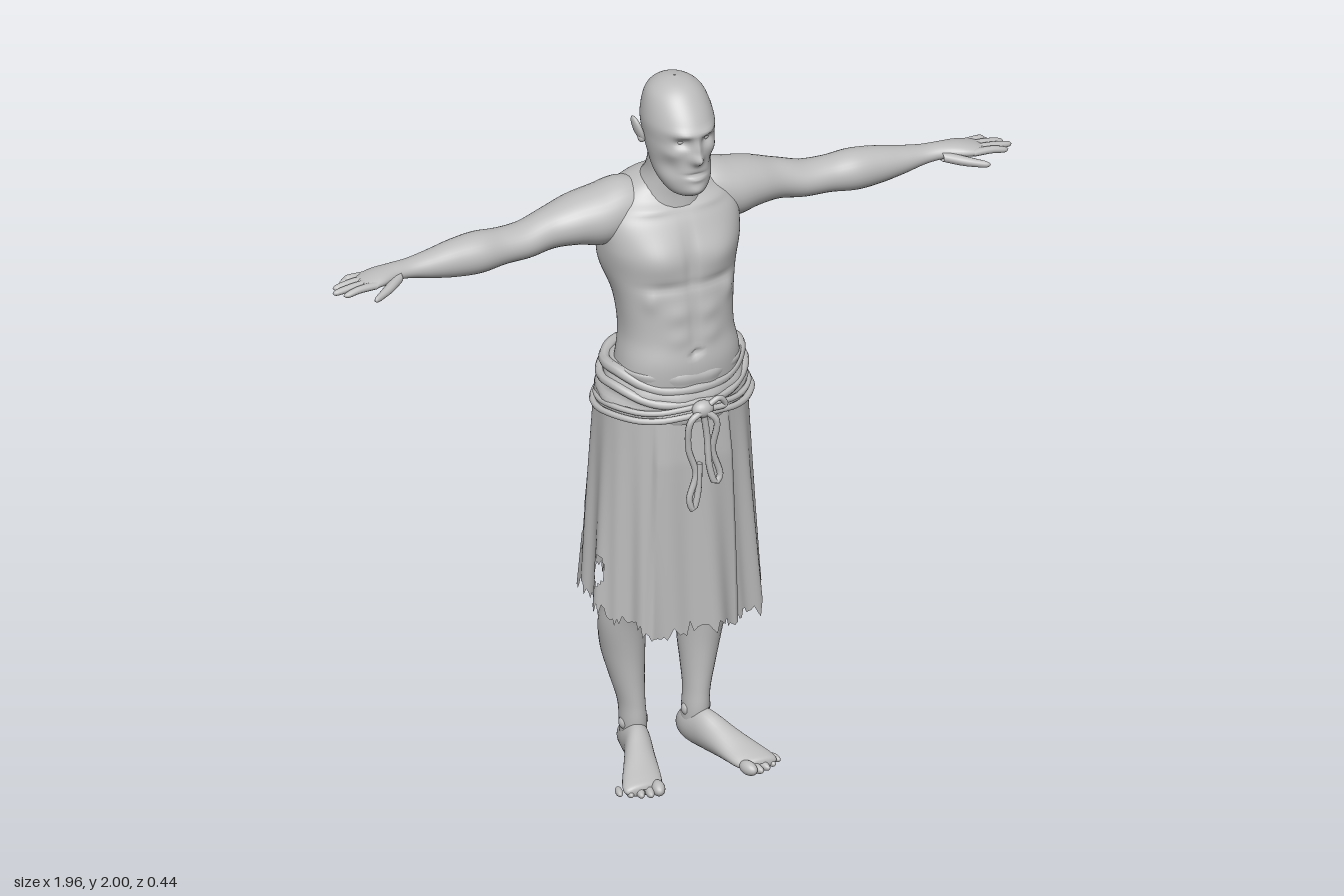
import * as THREE from 'three';

const skin = new THREE.MeshStandardMaterial({ color: 0xbdbdbd });
skin.name = 'stone grey';
skin.side = THREE.DoubleSide;

const V = (x, y, z) => new THREE.Vector3(x, y, z);

function mesh(parent, name, geo) {
  const m = new THREE.Mesh(geo, skin);
  m.name = name;
  parent.add(m);
  return m;
}

// Smooth interpolation through a list of section rows
function sampleRows(rows, u) {
  const n = rows.length - 1, i = Math.min(n - 1, Math.floor(u * n)), t = u * n - i;
  const a = rows[Math.max(0, i - 1)], b = rows[i], c = rows[i + 1], d = rows[Math.min(n, i + 2)];
  return b.map((_, k) => 0.5 * (2 * b[k] + (c[k] - a[k]) * t + (2 * a[k] - 5 * b[k] + 4 * c[k] - d[k]) * t * t
    + (3 * b[k] - a[k] - 3 * c[k] + d[k]) * t * t * t));
}

// Gaussian push: [x, y, z, rx, ry, rz, dx, dy, dz]; mirrored when x is not 0
function sculpt(bumps) {
  const all = bumps.flatMap(b => b[0] ? [b, b.map((v, i) => (i === 0 || i === 6 ? -v : v))] : [b]);
  return p => {
    const q = p.clone();
    for (const [x, y, z, rx, ry, rz, dx, dy, dz] of all) {
      const w = Math.exp(-(((q.x - x) / rx) ** 2) - ((q.y - y) / ry) ** 2 - ((q.z - z) / rz) ** 2);
      p.x += dx * w; p.y += dy * w; p.z += dz * w;
    }
  };
}

// Closed-section loft; rows are [position, centre 1, centre 2, radius 1, radius 2]
function loft(rows, axis, { side = 1, seg = 28, steps = 40, power = 1, deform } = {}) {
  const pos = [], idx = [], mid = V(0, 0, 0), pts = [];
  const round = v => Math.sign(v) * Math.abs(v) ** power;
  for (let j = 0; j <= steps; j++) {
    const [s, c1, c2, r1, r2] = sampleRows(rows, j / steps);
    for (let i = 0; i < seg; i++) {
      const a = i / seg * Math.PI * 2;
      const p = c1 + Math.max(0.001, r1) * round(Math.cos(a)), q = c2 + Math.max(0.001, r2) * round(Math.sin(a));
      const v = axis === 'y' ? V(p, s, q) : axis === 'x' ? V(s, p, q) : V(p, q, s);
      if (deform) deform(v);
      v.x *= side;
      pts.push(v); mid.add(v); pos.push(v.x, v.y, v.z);
      if (j < steps) {
        const k = j * seg, n = (i + 1) % seg;
        idx.push(k + i, k + seg + i, k + n, k + n, k + seg + i, k + seg + n);
      }
    }
  }
  // Turn the faces outward
  mid.divideScalar(pts.length);
  let vol = 0;
  for (let i = 0; i < idx.length; i += 3) {
    const [a, b, c] = [0, 1, 2].map(k => pts[idx[i + k]].clone().sub(mid));
    vol += a.dot(b.cross(c));
  }
  if (vol < 0) idx.reverse();
  const g = new THREE.BufferGeometry();
  g.setAttribute('position', new THREE.Float32BufferAttribute(pos, 3));
  g.setIndex(idx);
  g.computeVertexNormals();
  return g;
}

function ball(parent, name, p, r) {
  const m = mesh(parent, name, new THREE.SphereGeometry(1, 20, 14));
  m.position.set(...p);
  m.scale.set(...r);
  return m;
}

function rope(parent, name, points, r, closed = false) {
  const curve = new THREE.CatmullRomCurve3(points.map(p => V(...p)), closed);
  return mesh(parent, name, new THREE.TubeGeometry(curve, closed ? 96 : 40, r, 8, closed));
}

function buildHead(g) {
  const head = sculpt([
    [0, 1.815, 0.155, 0.016, 0.016, 0.06, 0, 0, 0.026], [0, 1.845, 0.155, 0.011, 0.026, 0.06, 0, 0, 0.014],
    [0.035, 1.888, 0.14, 0.03, 0.011, 0.06, 0, 0, 0.009], [0.034, 1.862, 0.14, 0.018, 0.014, 0.06, 0, 0, -0.016],
    [0.055, 1.83, 0.11, 0.02, 0.018, 0.05, 0.003, 0, 0.005], [0.06, 1.785, 0.1, 0.02, 0.025, 0.05, -0.006, 0, -0.004],
    [0, 1.768, 0.155, 0.028, 0.005, 0.05, 0, 0, -0.009], [0, 1.756, 0.155, 0.02, 0.007, 0.05, 0, 0, 0.005],
    [0, 1.722, 0.145, 0.025, 0.016, 0.05, 0, 0, 0.009],
  ]);
  mesh(g, 'head', loft([
    [2, 0, 0.015, 0.002, 0.002], [1.99, 0, 0.015, 0.042, 0.05], [1.96, 0, 0.017, 0.075, 0.088], [1.9, 0, 0.03, 0.091, 0.119],
    [1.85, 0, 0.034, 0.089, 0.118], [1.8, 0, 0.045, 0.083, 0.104], [1.75, 0, 0.06, 0.073, 0.092],
    [1.715, 0, 0.077, 0.055, 0.068], [1.698, 0, 0.082, 0.034, 0.042], [1.694, 0, 0.085, 0.002, 0.002],
  ], 'y', { seg: 72, steps: 80, deform: head }));
  mesh(g, 'neck', loft([
    [1.84, 0, -0.005, 0.06, 0.06], [1.77, 0, 0, 0.064, 0.064], [1.72, 0, -0.01, 0.068, 0.074],
    [1.67, 0, -0.03, 0.088, 0.09], [1.61, 0, -0.035, 0.11, 0.1],
  ], 'y', { deform: sculpt([[0.03, 1.7, 0.06, 0.015, 0.06, 0.04, 0, 0, 0.007]]) }));
  for (const s of [1, -1]) {
    ball(g, 'eye', [s * 0.034, 1.863, 0.117], [0.014, 0.011, 0.014]);
    const ear = ball(g, 'ear', [s * 0.099, 1.858, 0], [0.01, 0.038, 0.021]);
    ear.rotation.set(-0.25, 0, -s * 0.3);
    ball(g, 'earLobe', [s * 0.092, 1.835, 0.008], [0.01, 0.014, 0.012]);
  }
}

function buildTorso(g) {
  const muscles = sculpt([
    [0.09, 1.51, 0.12, 0.075, 0.055, 0.08, 0, 0, 0.016], [0, 1.5, 0.12, 0.014, 0.08, 0.06, 0, 0, -0.01],
    [0.08, 1.435, 0.13, 0.07, 0.014, 0.06, 0, 0, -0.007], [0, 1.33, 0.14, 0.012, 0.08, 0.05, 0, 0, -0.006],
    [0, 1.245, 0.15, 0.012, 0.008, 0.05, 0, 0, -0.014], [0.045, 1.36, 0.14, 0.03, 0.025, 0.05, 0, 0, 0.005],
    [0.045, 1.29, 0.14, 0.03, 0.025, 0.05, 0, 0, 0.005], [0.11, 1.4, 0.1, 0.02, 0.03, 0.06, 0.004, 0, 0.006],
    [0, 1.42, -0.15, 0.02, 0.2, 0.07, 0, 0, 0.017], [0.1, 1.55, -0.15, 0.05, 0.06, 0.06, 0, 0, -0.013],
    [0.17, 1.47, -0.05, 0.05, 0.06, 0.07, 0.013, 0, -0.006], [0.05, 1.27, -0.11, 0.025, 0.08, 0.05, 0, 0, -0.006],
    [0.09, 1.635, 0.06, 0.07, 0.012, 0.06, 0, 0, 0.008],
  ]);
  mesh(g, 'torso', loft([
    [0.9, 0, -0.01, 0.15, 0.12], [1.08, 0, 0, 0.175, 0.14], [1.2, 0, 0.028, 0.166, 0.126], [1.28, 0, 0.02, 0.153, 0.124],
    [1.36, 0, 0.008, 0.157, 0.13], [1.45, 0, -0.012, 0.172, 0.138], [1.53, 0, -0.022, 0.19, 0.136],
    [1.6, 0, -0.038, 0.19, 0.124], [1.65, 0, -0.052, 0.155, 0.1], [1.69, 0, -0.05, 0.1, 0.07], [1.71, 0, -0.045, 0.03, 0.03],
  ], 'y', { seg: 80, steps: 90, power: 0.88, deform: muscles }));
}

function buildArm(g, side) {
  const arm = new THREE.Group();
  arm.name = side > 0 ? 'leftArm' : 'rightArm';
  g.add(arm);
  mesh(arm, 'armAndPalm', loft([
    [0.04, 1.625, -0.05, 0.05, 0.06], [0.12, 1.615, -0.055, 0.08, 0.08], [0.19, 1.602, -0.055, 0.08, 0.085],
    [0.26, 1.6, -0.06, 0.066, 0.077], [0.33, 1.59, -0.062, 0.052, 0.062], [0.4, 1.576, -0.055, 0.047, 0.058],
    [0.47, 1.574, -0.05, 0.048, 0.054], [0.54, 1.574, -0.045, 0.055, 0.058], [0.61, 1.573, -0.043, 0.05, 0.051],
    [0.68, 1.573, -0.04, 0.037, 0.041], [0.74, 1.576, -0.037, 0.025, 0.033], [0.79, 1.58, -0.03, 0.021, 0.033],
    [0.84, 1.58, -0.02, 0.019, 0.043], [0.88, 1.577, -0.014, 0.014, 0.043], [0.9, 1.576, -0.012, 0.006, 0.036],
  ], 'x', { side, steps: 84, seg: 32, deform: sculpt([
    [0.36, 1.63, -0.04, 0.05, 0.04, 0.05, 0, 0.004, 0], [0.36, 1.54, -0.07, 0.06, 0.04, 0.05, 0, -0.006, 0],
  ]) }));
  // Fingers: base z, tip z, tip x
  [[-0.047, -0.05, 0.935], [-0.025, -0.025, 0.966], [-0.003, 0, 0.978], [0.018, 0.024, 0.958]].forEach(([z0, z1, x1]) =>
    mesh(arm, 'finger', loft([
      [0.86, 1.578, z0, 0.01, 0.011], [0.91, 1.578, (z0 + z1) / 2, 0.01, 0.0105],
      [x1 - 0.012, 1.572, z1, 0.008, 0.009], [x1, 1.571, z1, 0.001, 0.001],
    ], 'x', { side, seg: 12, steps: 14 })));
  mesh(arm, 'thumb', loft([
    [0.78, 1.574, -0.01, 0.014, 0.02], [0.82, 1.568, 0.022, 0.014, 0.018], [0.86, 1.562, 0.048, 0.011, 0.012],
    [0.88, 1.56, 0.06, 0.008, 0.008], [0.888, 1.56, 0.064, 0.001, 0.001],
  ], 'x', { side, seg: 12, steps: 16 }));
}

function buildLeg(g, side) {
  const leg = new THREE.Group();
  leg.name = side > 0 ? 'leftLeg' : 'rightLeg';
  g.add(leg);
  mesh(leg, 'leg', loft([
    [0.03, 0.087, -0.055, 0.033, 0.042], [0.1, 0.09, -0.048, 0.035, 0.045], [0.16, 0.094, -0.05, 0.035, 0.046],
    [0.23, 0.102, -0.06, 0.045, 0.056], [0.31, 0.11, -0.068, 0.057, 0.068], [0.4, 0.117, -0.055, 0.063, 0.067],
    [0.5, 0.115, -0.03, 0.06, 0.066], [0.7, 0.11, -0.015, 0.075, 0.08], [1, 0.1, 0, 0.085, 0.1],
  ], 'y', { side, steps: 60 }));
  mesh(leg, 'foot', loft([
    [-0.115, 0.085, 0.035, 0.002, 0.002], [-0.105, 0.085, 0.037, 0.024, 0.032], [-0.06, 0.087, 0.048, 0.037, 0.052],
    [0, 0.1, 0.052, 0.038, 0.056], [0.06, 0.123, 0.04, 0.045, 0.044], [0.12, 0.147, 0.028, 0.054, 0.03],
    [0.16, 0.162, 0.021, 0.056, 0.022], [0.18, 0.168, 0.018, 0.045, 0.016], [0.186, 0.17, 0.016, 0.01, 0.006],
  ], 'z', { side, steps: 50, deform: p => { p.y = Math.max(0, p.y); } }));
  for (const s of [1, -1]) ball(leg, 'ankleBone', [side * (0.09 + s * 0.028), 0.1, -0.045], [0.013, 0.018, 0.016]);
  for (let i = 0; i < 5; i++) {
    const r = i ? 0.0135 - i * 0.0008 : 0.019;
    const toe = ball(leg, 'toe', [side * (0.13 + i * 0.0235), r, 0.188 - i * i * 0.0025], [r * 0.95, r, 0.031 - i * 0.002]);
    toe.rotation.y = side * 0.25;
  }
}

// Ragged cloth: hem heights every 15 degrees, starting at +x and turning to the front
const hem = [0.5, 0.47, 0.45, 0.42, 0.43, 0.43, 0.45, 0.43, 0.43, 0.46, 0.46, 0.49,
  0.5, 0.5, 0.5, 0.49, 0.48, 0.47, 0.35, 0.45, 0.46, 0.45, 0.47, 0.47];
// Torn holes: angle, height, half angle, half height
const holes = [[204, 0.68, 7, 0.075], [166, 0.61, 5, 0.045], [322, 0.72, 2.5, 0.03], [335, 0.6, 3, 0.035],
  [310, 0.85, 2, 0.025], [285, 0.58, 1.6, 0.11], [230, 0.82, 2.2, 0.03]];

function buildSkirt(g) {
  const seg = 180, rows = 48, pos = [], idx = [];
  let seed = 7;
  const rand = () => (seed = (seed * 16807) % 2147483647) / 2147483647;
  const jag = Array.from({ length: seg }, () => (rand() - 0.4) * 0.045);
  for (let j = 0; j <= rows; j++) for (let i = 0; i < seg; i++) {
    const t = j / rows, a = i / seg * Math.PI * 2, deg = i / seg * 360, k = Math.floor(deg / 15);
    const f = deg / 15 - k, low = hem[k] * (1 - f) + hem[(k + 1) % 24] * f;
    const y = 1.1 + (low - 1.1) * t + jag[i] * Math.max(0, t - 0.88) / 0.12;
    const d = (1.1 - y) / 0.65;
    const panel = deg > 64 && deg < 122 ? 0.012 : 0;
    const fold = d * (0.009 * Math.sin(a * 9 + 1) + 0.006 * Math.sin(a * 17 + d * 2)) + panel * Math.min(1, d * 4);
    const c = Math.cos(a), s = Math.sin(a);
    const x = (0.2 + 0.042 * d + fold) * Math.sign(c) * Math.abs(c) ** 0.9 + 0.012 * d;
    const z = -0.008 - 0.024 * d + (0.163 + 0.018 * d + fold) * Math.sign(s) * Math.abs(s) ** 0.85;
    pos.push(x, y, z);
    const torn = holes.some(h => ((deg - h[0]) / h[2]) ** 2 + ((y - h[1]) / h[3]) ** 2 < 1);
    if (j < rows && !torn) {
      const b = j * seg, n = (i + 1) % seg;
      idx.push(b + i, b + n, b + seg + i, b + n, b + seg + n, b + seg + i);
    }
  }
  const geo = new THREE.BufferGeometry();
  geo.setAttribute('position', new THREE.Float32BufferAttribute(pos, 3));
  geo.setIndex(idx);
  geo.computeVertexNormals();
  mesh(g, 'raggedSkirt', geo);
}

function buildBelt(g) {
  mesh(g, 'waistCloth', loft([
    [1.05, 0, -0.006, 0.2, 0.168], [1.1, 0, -0.004, 0.203, 0.168], [1.15, 0, 0.004, 0.19, 0.152],
    [1.19, 0, 0.015, 0.182, 0.138], [1.2, 0, 0.025, 0.16, 0.122],
  ], 'y', { seg: 64, steps: 24, deform: p => {
    const a = Math.atan2(p.z, p.x), w = 1 + 0.02 * Math.sin(p.y * 110 + 4 * Math.sin(a)) + 0.012 * Math.sin(a * 11);
    p.x *= w; p.z *= w;
  } }));
  // Rolls and cords: height, front dip, back dip, half width, half depth, thickness
  [['upperRoll', 1.185, 0.045, 0.005, 0.182, 0.145, 0.016], ['middleRoll', 1.145, 0.04, -0.02, 0.194, 0.158, 0.013],
    ['beltCord', 1.065, -0.015, 0.005, 0.212, 0.18, 0.009], ['lowerCord', 1.085, -0.015, 0.02, 0.204, 0.174, 0.008],
  ].forEach(([name, y, front, back, rx, rz, r]) => rope(g, name, Array.from({ length: 24 }, (_, i) => {
    const a = i / 24 * Math.PI * 2, s = Math.sin(a);
    return [rx * Math.cos(a), y - (s > 0 ? front : back) * s * s + 0.004 * Math.sin(a * 5), rz * s];
  }), r, true));
  // Knot and hanging cords
  ball(g, 'knot', [0, 1.1, 0.185], [0.03, 0.024, 0.022]);
  rope(g, 'rightLoop', [[0, 1.1, 0.195], [-0.04, 1.08, 0.2], [-0.045, 1, 0.192], [-0.025, 0.92, 0.195],
    [-0.045, 0.85, 0.198], [-0.035, 0.82, 0.2], [-0.022, 0.86, 0.2], [-0.015, 0.95, 0.196]], 0.009);
  rope(g, 'leftLoop', [[0, 1.1, 0.195], [0.03, 1.07, 0.205], [0.025, 0.98, 0.192], [0.045, 0.9, 0.195],
    [0.03, 0.885, 0.198], [0.015, 0.93, 0.195], [0.01, 1.02, 0.19], [0, 1.09, 0.19]], 0.009);
  rope(g, 'cordBow', [[0, 1.1, 0.19], [0.045, 1.125, 0.19], [0.065, 1.1, 0.185], [0, 1.1, 0.19]], 0.008);
}

export function createModel() {
  const g = new THREE.Group();
  g.name = 'standingMan';
  buildHead(g);
  buildTorso(g);
  for (const side of [1, -1]) {
    buildArm(g, side);
    buildLeg(g, side);
  }
  buildSkirt(g);
  buildBelt(g);
  return g;
}
